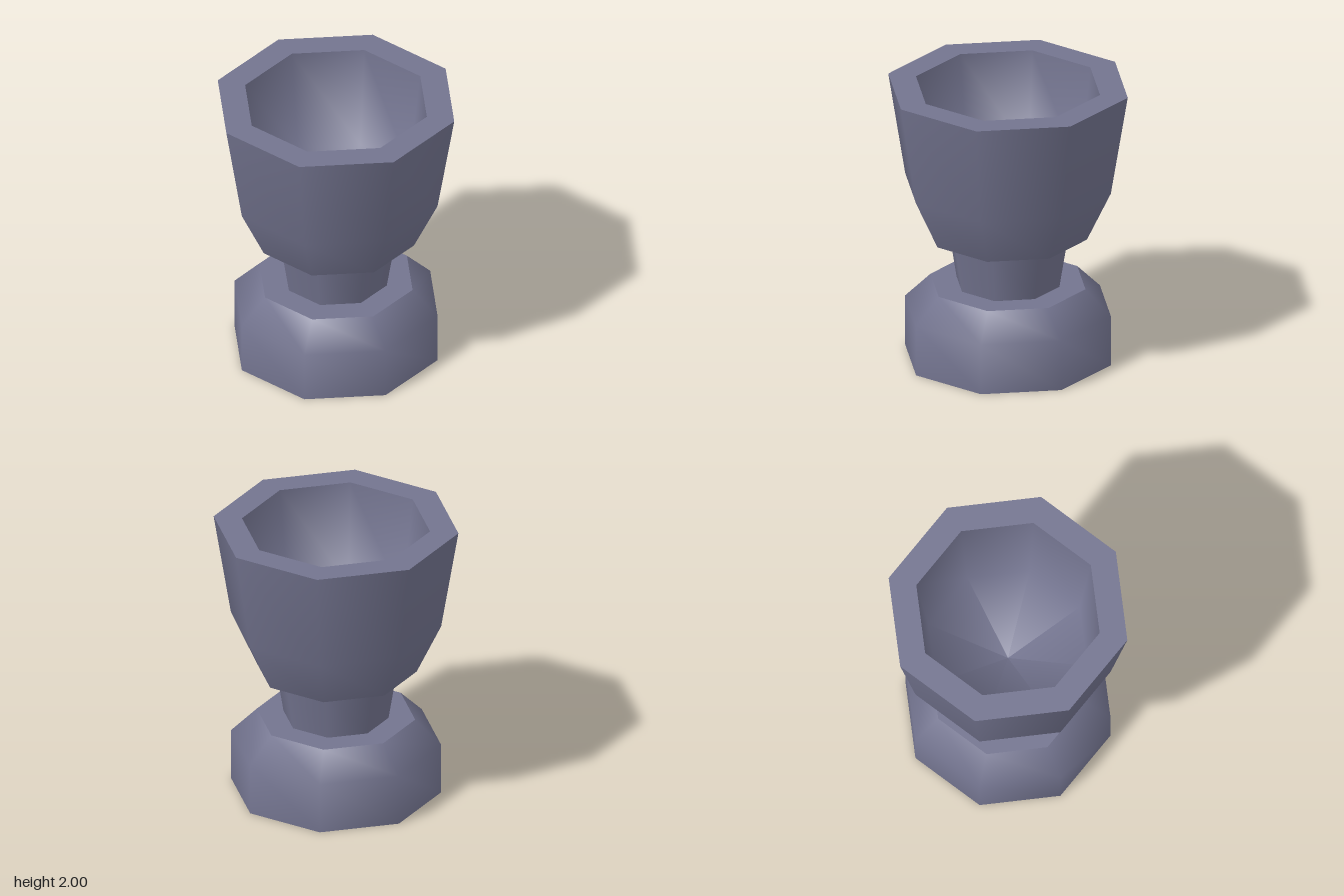
import * as THREE from 'three';

const SIDES = 8;

// Turns each [radius, height] run separately: smooth within a run, sharp between runs.
function turned(name, runs, material) {
  const group = new THREE.Group();
  group.name = name;
  for (const [part, points] of Object.entries(runs)) {
    const profile = points.map(([r, y]) => new THREE.Vector2(r, y));
    const mesh = new THREE.Mesh(new THREE.LatheGeometry(profile, SIDES), material);
    mesh.name = part;
    group.add(mesh);
  }
  return group;
}

export function createModel() {
  const pewter = new THREE.MeshStandardMaterial({ color: 0x73748f });
  pewter.name = 'pewter';

  const model = new THREE.Group();
  model.name = 'goblet';

  // Heavy foot with a bevelled shoulder
  model.add(turned('foot', {
    footUnderside: [[0, 0], [0.73, 0]],
    footWall: [[0.73, 0], [0.73, 0.365], [0.55, 0.545]],
    footTop: [[0.55, 0.545], [0, 0.545]],
  }, pewter));

  // Stem widening towards the cup
  model.add(turned('stem', {
    stemWall: [[0.365, 0.545], [0.425, 0.915]],
  }, pewter));

  // Hollow cup with a thick flat rim
  model.add(turned('cup', {
    cupUnderside: [[0, 0.915], [0.56, 0.915]],
    cupOuterWall: [[0.56, 0.915], [0.73, 1.275], [0.85, 2]],
    cupRim: [[0.85, 2], [0.653, 2]],
    cupInside: [[0.653, 2], [0.565, 1.275], [0, 1.02]],
  }, pewter));

  return model;
}
